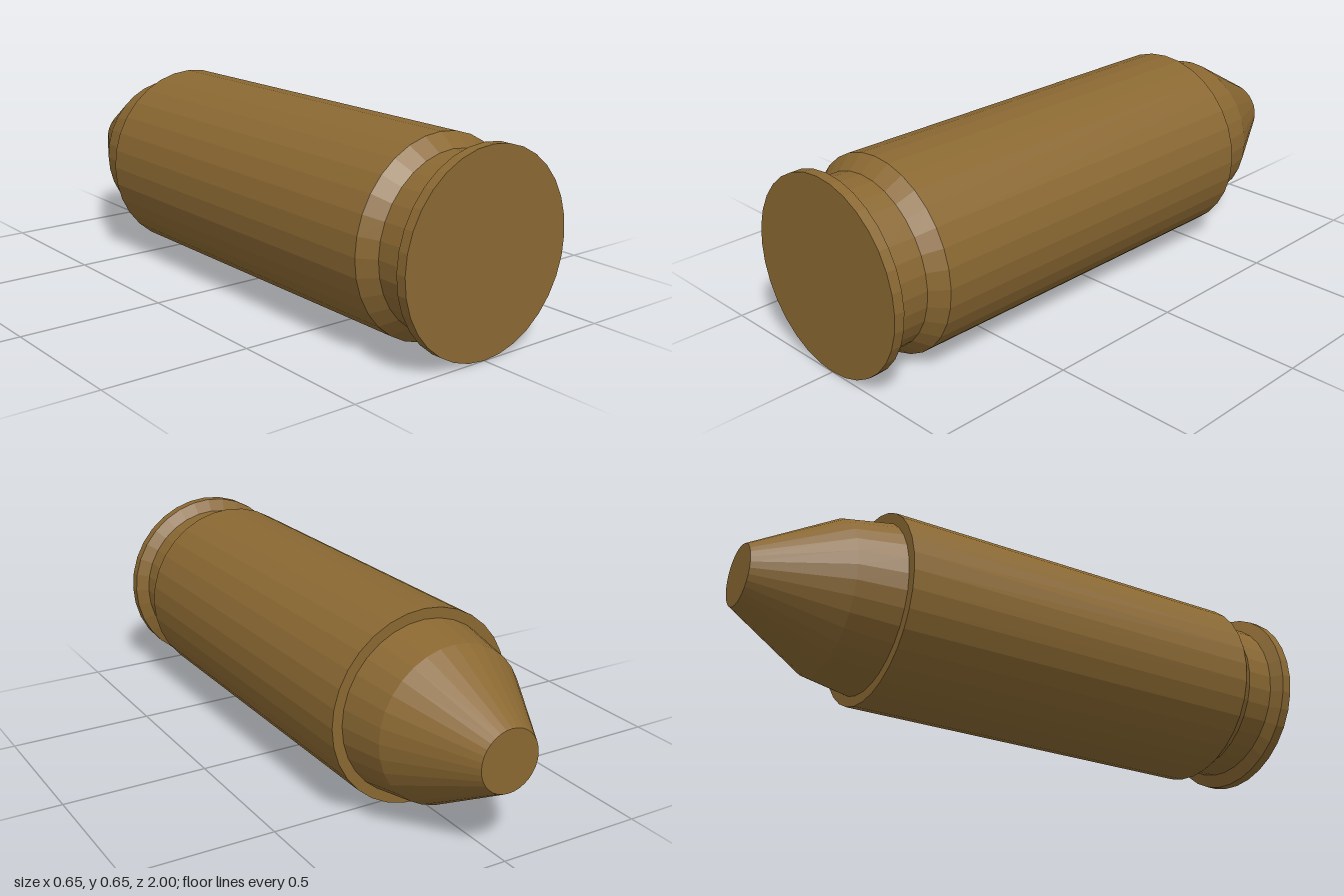
import * as THREE from 'three';

const SIDES = 32;
const RADIUS = 0.327;

// Turns a [radius, z] profile (listed from back to front) around the z axis
function turned(name, profile, material) {
  const points = profile.map(([r, z]) => new THREE.Vector2(r, z));
  const geometry = new THREE.LatheGeometry(points, SIDES);
  geometry.rotateX(Math.PI / 2);
  const mesh = new THREE.Mesh(geometry, material);
  mesh.name = name;
  mesh.position.y = RADIUS;
  return mesh;
}

export function createModel() {
  const group = new THREE.Group();
  group.name = 'cartridge';
  const brass = new THREE.MeshStandardMaterial({ color: 0x8a6832, flatShading: true });

  // Tapered tip with a flat nose
  group.add(turned('bullet', [
    [0, -1], [0.103, -1], [0.263, -0.715], [0.292, -0.555],
  ], brass));

  // Casing: mouth step, straight wall, extractor groove, rim and flat base
  group.add(turned('casing', [
    [0.292, -0.555], [RADIUS, -0.555], [RADIUS, 0.79], [0.284, 0.843],
    [0.284, 0.943], [RADIUS, 0.965], [RADIUS, 1], [0, 1],
  ], brass));

  return group;
}
